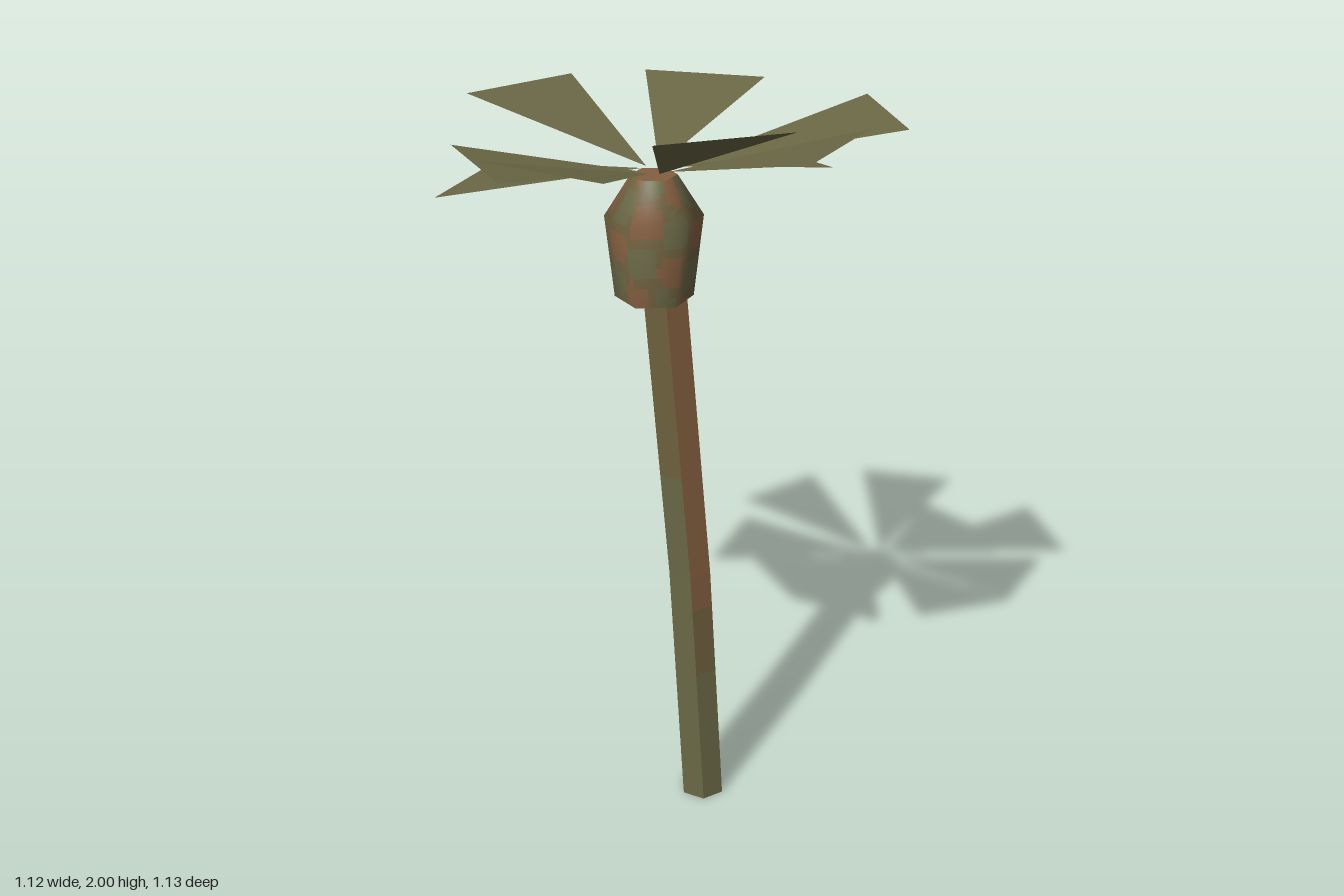
import * as THREE from 'three';

const material = (name, color, side = THREE.FrontSide) => {
  const m = new THREE.MeshStandardMaterial({ color, side });
  m.name = name;
  return m;
};

// Hexagonal tube through rings {x, y, z, r}; each side is split into cells
// and pick(side, angle, y) chooses the material index of a cell.
function hexTube(rings, turn, across, rows, smooth, pick) {
  const buckets = [[], [], []];
  const corner = (i, k) => {
    const a = turn + (k * Math.PI) / 3, g = rings[i];
    return new THREE.Vector3(g.x + g.r * Math.sin(a), g.y, g.z + g.r * Math.cos(a));
  };
  const cornerNormal = (i, k) => {
    const lo = rings[Math.max(i - 1, 0)], hi = rings[Math.min(i + 1, rings.length - 1)];
    const a = turn + (k * Math.PI) / 3;
    return new THREE.Vector3(Math.sin(a), (lo.r - hi.r) / (hi.y - lo.y), Math.cos(a)).normalize();
  };
  const blend = (f, i, k, u, v) =>
    f(i, k).lerp(f(i, k + 1), u).lerp(f(i + 1, k).lerp(f(i + 1, k + 1), u), v);
  for (let i = 0; i < rings.length - 1; i++)
    for (let k = 0; k < 6; k++) {
      const e1 = corner(i, k + 1).sub(corner(i, k)), e2 = corner(i + 1, k).sub(corner(i, k));
      const flat = e1.cross(e2).normalize();
      for (let s = 0; s < across; s++)
        for (let t = 0; t < rows; t++) {
          const mid = blend(corner, i, k, (s + 0.5) / across, (t + 0.5) / rows);
          const out = buckets[pick(k, turn + ((k + (s + 0.5) / across) * Math.PI) / 3, mid.y)];
          for (const [du, dv] of [[0, 0], [1, 0], [1, 1], [0, 0], [1, 1], [0, 1]]) {
            const u = (s + du) / across, v = (t + dv) / rows;
            out.push([blend(corner, i, k, u, v),
              smooth ? blend(cornerNormal, i, k, u, v).normalize() : flat]);
          }
        }
    }
  // End caps
  for (const [i, up] of [[0, -1], [rings.length - 1, 1]]) {
    const g = rings[i], n = new THREE.Vector3(0, up, 0);
    for (let k = 0; k < 6; k++) {
      const [a, b] = up > 0 ? [k, k + 1] : [k + 1, k];
      const out = buckets[pick(-1, 0, g.y)];
      for (const p of [new THREE.Vector3(g.x, g.y, g.z), corner(i, a), corner(i, b)]) out.push([p, n]);
    }
  }
  const geo = new THREE.BufferGeometry(), pos = [], nor = [];
  buckets.forEach((list, m) => {
    geo.addGroup(pos.length / 3, list.length, m);
    for (const [p, n] of list) { pos.push(p.x, p.y, p.z); nor.push(n.x, n.y, n.z); }
  });
  geo.setAttribute('position', new THREE.Float32BufferAttribute(pos, 3));
  geo.setAttribute('normal', new THREE.Float32BufferAttribute(nor, 3));
  return geo;
}

export function createModel() {
  const group = new THREE.Group();
  const olive = material('olive', 0x6b6947);
  const brown = material('bark brown', 0x835f40);
  const blend = material('olive brown', 0x70613f);
  const leafMat = material('leaf olive', 0x6b6846, THREE.DoubleSide);
  const add = (name, geo, mat) => {
    const mesh = new THREE.Mesh(geo, mat);
    mesh.name = name;
    group.add(mesh);
  };

  // Bent trunk: bark on the front left sides, fading to olive near the ground
  const z = 0.024, r = 0.061;
  add('trunk', hexTube([
    { x: 0.095, y: 0, z, r },
    { x: 0.055, y: 0.7, z, r },
    { x: -0.011, y: 1.5, z, r },
  ], 0, 1, 14, false, (side, a, y) => {
    if (side === 0 || side === 1) return y > 0.62 ? 1 : y > 0.4 ? 2 : 0;
    if (side === 5) return y > 1 ? 2 : 0;
    return 0;
  }), [olive, brown, blend]);

  // Mottled crown bulb
  add('crown', hexTube([
    { x: -0.034, y: 1.46, z: 0.022, r: 0.096 },
    { x: -0.034, y: 1.665, z: 0.022, r: 0.119 },
    { x: -0.034, y: 1.765, z: 0.022, r: 0.056 },
  ], Math.PI / 6, 6, 8, true, (side, a, y) => {
    if (side < 0) return 1;
    const n = Math.sin(5 * a + 24 * y) + Math.sin(3 * a - 37 * y + 1.3);
    return n > 0.45 ? 1 : n > -0.35 ? 2 : 0;
  }), [olive, brown, blend]);

  // Triangular leaves: two tip corners (x, z) and their height
  const leaves = [
    [-0.039, -0.567, 0.267, -0.483, 1.86],
    [0.206, -0.398, 0.412, -0.157, 1.72],
    [0.5, -0.243, 0.558, 0.066, 1.88],
    [0.459, 0.137, 0.291, 0.407, 1.905],
    [0.254, 0.478, -0.052, 0.563, 2],
    [-0.153, 0.531, -0.426, 0.367, 1.91],
    [-0.381, 0.341, -0.505, 0.048, 1.85],
    [-0.559, -0.048, -0.423, -0.336, 1.69],
    [-0.492, -0.354, -0.232, -0.536, 1.86],
  ];
  for (const [x1, z1, x2, z2, y] of leaves) {
    const mid = new THREE.Vector2((x1 + x2) / 2 + 0.03, (z1 + z2) / 2 - 0.008).setLength(0.035);
    const geo = new THREE.BufferGeometry();
    const tips = [[x1, y, z1], [x2, y, z2]];
    // Corner order keeps the upper side as the front
    if (x1 * z2 - z1 * x2 > 0) tips.reverse();
    geo.setAttribute('position', new THREE.Float32BufferAttribute(
      [[mid.x - 0.03, 1.772, mid.y + 0.008], ...tips].flat(), 3));
    geo.computeVertexNormals();
    add('leaf', geo, leafMat);
  }
  return group;
}
